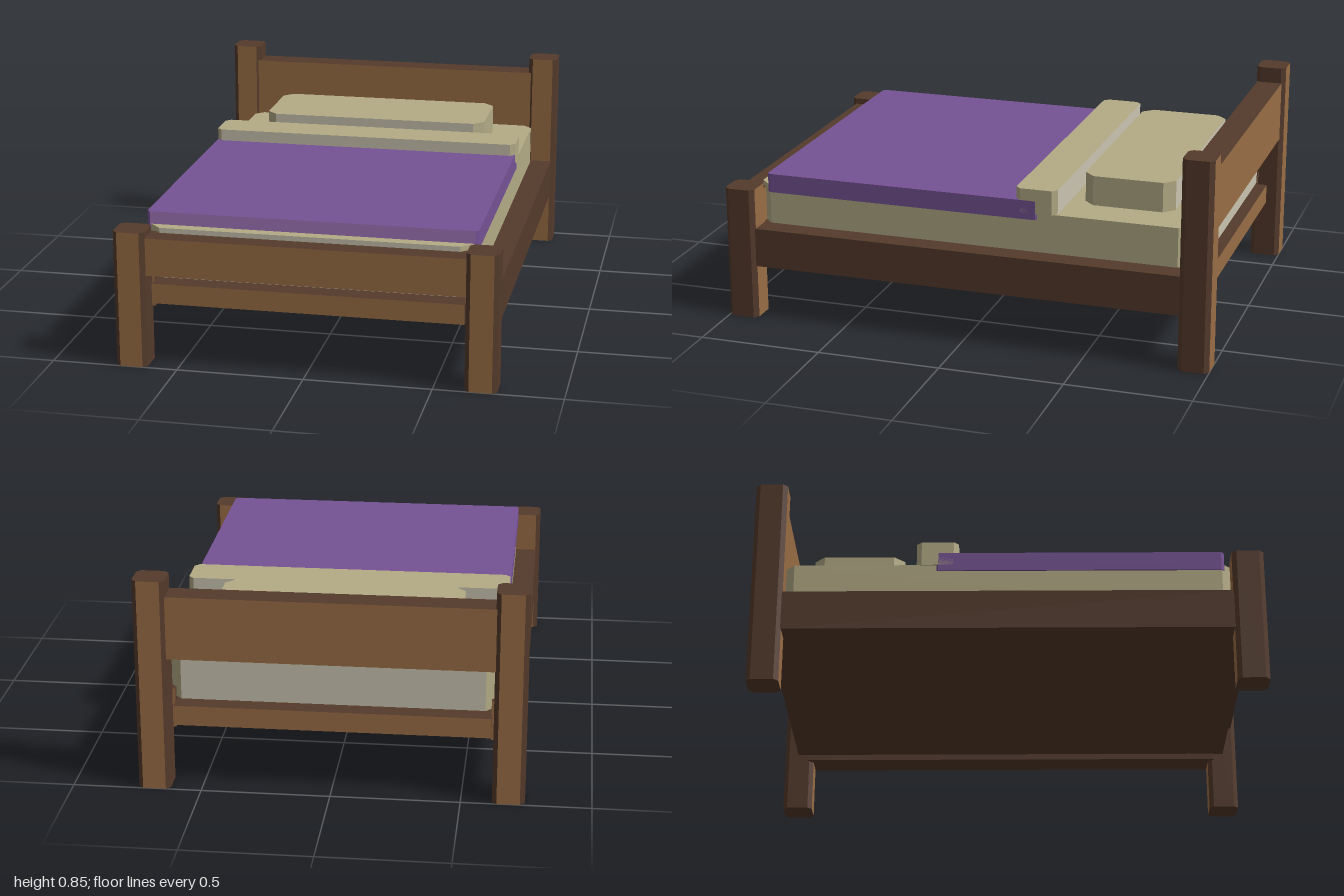
import * as THREE from 'three';

function mat(name, color) {
  const m = new THREE.MeshStandardMaterial({ color });
  m.name = name;
  return m;
}

// Upright block with optional cut corners; its end faces (toward +z and -z)
// take the second material, all other faces the first.
function block(name, [x0, x1], [y0, y1], [z0, z1], cut, materials) {
  const w = (x1 - x0) / 2, d = (z1 - z0) / 2, h = y1 - y0;
  let geo;
  if (cut > 0) {
    const outline = [
      [w, -d + cut], [w, d - cut], [w - cut, d], [-w + cut, d],
      [-w, d - cut], [-w, -d + cut], [-w + cut, -d], [w - cut, -d],
    ].map(([x, y]) => new THREE.Vector2(x, y));
    geo = new THREE.ExtrudeGeometry(new THREE.Shape(outline), { depth: h, bevelEnabled: false });
    geo.rotateX(-Math.PI / 2);
  } else {
    geo = new THREE.BoxGeometry(2 * w, h, 2 * d).toNonIndexed();
    geo.translate(0, h / 2, 0);
  }
  geo.clearGroups();
  const normal = geo.attributes.normal;
  for (let i = 0; i < normal.count; i += 3) {
    geo.addGroup(i, 3, Math.abs(normal.getZ(i)) > 0.9 ? 1 : 0);
  }
  const mesh = new THREE.Mesh(geo, materials);
  mesh.name = name;
  mesh.position.set((x0 + x1) / 2, y0, (z0 + z1) / 2);
  return mesh;
}

export function createModel() {
  const wood = [mat('darkWood', 0x543a2b), mat('lightWood', 0x996d45)];
  const linen = [mat('linen', 0xb4ab86), mat('paleLinen', 0xcac3b0)];
  const cover = [mat('purpleCover', 0x765295), mat('lightPurpleCover', 0xa077ba)];

  const bed = new THREE.Group();
  bed.name = 'bed';
  const add = (...args) => bed.add(block(...args));

  // Corner posts and side rails
  for (const [side, s] of [['left', 1], ['right', -1]]) {
    const span = (a, b) => (s > 0 ? [a, b] : [-b, -a]);
    add(side + 'FrontPost', span(0.62, 0.745), [0, 0.545], [0.875, 1], 0.018, wood);
    add(side + 'BackPost', span(0.62, 0.745), [0, 0.85], [-1, -0.875], 0.018, wood);
    add(side + 'Rail', span(0.608, 0.73), [0.22, 0.38], [-0.9, 0.9], 0, wood);
  }

  // Headboard, footboard and the base under the mattress
  add('headboard', [-0.63, 0.63], [0.535, 0.785], [-0.985, -0.88], 0, wood);
  add('footboard', [-0.63, 0.63], [0.37, 0.52], [0.88, 0.98], 0, wood);
  add('base', [-0.61, 0.61], [0.245, 0.325], [-0.94, 0.94], 0, wood);

  // Bedding
  add('mattress', [-0.64, 0.64], [0.34, 0.54], [-0.9, 0.9], 0.055, linen);
  add('blanket', [-0.647, 0.647], [0.513, 0.59], [-0.288, 0.855], 0.012, cover);
  add('foldedSheet', [-0.647, 0.647], [0.538, 0.638], [-0.362, -0.195], 0.02, linen);
  add('pillow', [-0.48, 0.48], [0.538, 0.66], [-0.785, -0.42], 0.042, linen);

  return bed;
}
